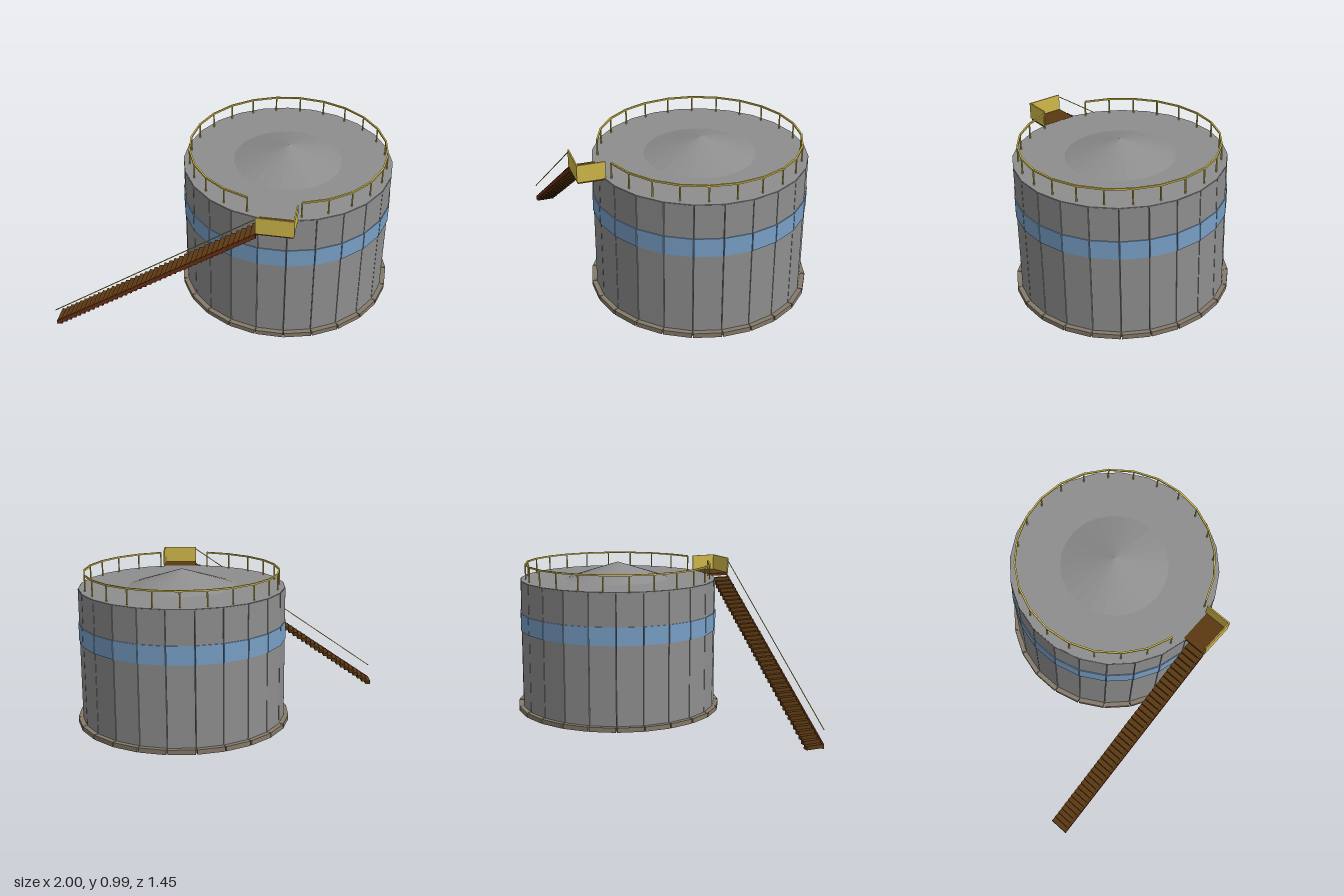
import * as THREE from 'three';

const mat = (name, color, extra = {}) => {
  const m = new THREE.MeshStandardMaterial({ color, ...extra });
  m.name = name;
  return m;
};

export function createModel() {
  const steel = mat('steel grey', 0x8e8e8e, { flatShading: true });
  const blue = mat('band blue', 0x789fc6);
  const stone = mat('footing tan', 0x857a6a);
  const yellow = mat('safety yellow', 0xd0b94a);
  const tread = mat('tread brown', 0x5a3812);
  const stringer = mat('stringer brown', 0x6b3014);

  const model = new THREE.Group();
  model.name = 'storageTank';
  const tank = new THREE.Group();
  tank.name = 'tank';
  tank.position.set(0.325, 0, -0.055);
  model.add(tank);

  const N = 24, STEP = (Math.PI * 2) / N;

  const add = (parent, name, geo, material, x = 0, y = 0, z = 0) => {
    const mesh = new THREE.Mesh(geo, material);
    mesh.name = name;
    mesh.position.set(x, y, z);
    parent.add(mesh);
    return mesh;
  };
  const box = (parent, name, material, x0, x1, y0, y1, z0, z1) =>
    add(parent, name, new THREE.BoxGeometry(x1 - x0, y1 - y0, z1 - z0), material,
      (x0 + x1) / 2, (y0 + y1) / 2, (z0 + z1) / 2);

  // Ring of flat panels whose mid-lines touch, leaving fine outer seams
  const panelRing = (name, material, rIn, rOut, y0, y1) => {
    const ring = new THREE.Group();
    ring.name = name;
    const r = (rIn + rOut) / 2;
    const geo = new THREE.BoxGeometry(2 * r * Math.tan(STEP / 2), y1 - y0, rOut - rIn);
    for (let i = 0; i < N; i++) {
      const a = i * STEP;
      add(ring, name + 'Panel', geo, material, Math.sin(a) * r, (y0 + y1) / 2, Math.cos(a) * r).rotation.y = a;
    }
    tank.add(ring);
  };
  panelRing('wall', steel, 0.61, 0.64, 0.03, 0.89);
  panelRing('colourBand', blue, 0.605, 0.645, 0.565, 0.68);
  panelRing('footing', stone, 0.605, 0.67, 0.028, 0.058);

  // Roof plate and shallow central cone
  add(tank, 'roof', new THREE.CylinderGeometry(0.643, 0.643, 0.01, N, 1, false, STEP / 2), steel, 0, 0.888, 0);
  add(tank, 'roofCone', new THREE.ConeGeometry(0.338, 0.107, N, 1, true), steel, 0, 0.9455, 0);

  // Roof railing, open at the front where the platform meets it
  const railing = new THREE.Group();
  railing.name = 'roofRailing';
  tank.add(railing);
  const railR = 0.607;
  const postGeo = new THREE.CylinderGeometry(0.005, 0.005, 0.1, 6);
  const railGeo = new THREE.BoxGeometry(2 * railR * Math.sin(STEP / 2) + 0.001, 0.01, 0.01);
  for (let i = 1; i < N; i++) {
    const a = i * STEP;
    add(railing, 'railPost', postGeo, yellow, Math.sin(a) * railR, 0.94, Math.cos(a) * railR);
    if (i === N - 1) continue;
    const b = a + STEP / 2, r = railR * Math.cos(STEP / 2);
    add(railing, 'topRail', railGeo, yellow, Math.sin(b) * r, 0.99, Math.cos(b) * r).rotation.y = b;
  }

  // Platform with guards on its outer sides
  const platform = new THREE.Group();
  platform.name = 'platform';
  model.add(platform);
  box(platform, 'platformFloor', tread, 0.245, 0.46, 0.878, 0.894, 0.57, 0.722);
  box(platform, 'frontGuard', yellow, 0.245, 0.465, 0.89, 0.995, 0.719, 0.727);
  box(platform, 'sideGuard', yellow, 0.457, 0.465, 0.89, 0.995, 0.56, 0.724);

  // Straight stair with stepped treads
  const stair = new THREE.Group();
  stair.name = 'stair';
  model.add(stair);
  const COUNT = 40, run = 1.245 / COUNT, rise = 0.855 / COUNT;
  for (let i = 0; i < COUNT; i++) {
    const x = -1 + i * run, y = 0.035 + i * rise;
    box(stair, 'stairTread', tread, x, x + run * 1.1, y - 0.024, y, 0.605, 0.718);
    box(stair, 'treadEnd', stringer, x, x + run * 1.02, y - 0.022, y, 0.717, 0.722);
  }

  // Sloping stringer along the outer side
  const side = new THREE.Shape([
    [-1, 0.005], [0.245, 0.85], [0.245, 0.88], [-1, 0.033],
  ].map(([x, y]) => new THREE.Vector2(x, y)));
  add(stair, 'stringer', new THREE.ExtrudeGeometry(side, { depth: 0.009, bevelEnabled: false }), stringer, 0, 0, 0.714);

  // Thin handrail parallel to the stair
  const from = new THREE.Vector3(-1, 0.12, 0.72), to = new THREE.Vector3(0.25, 0.985, 0.72);
  add(stair, 'handrail', new THREE.TubeGeometry(new THREE.LineCurve3(from, to), 1, 0.003, 6), yellow);

  return model;
}
